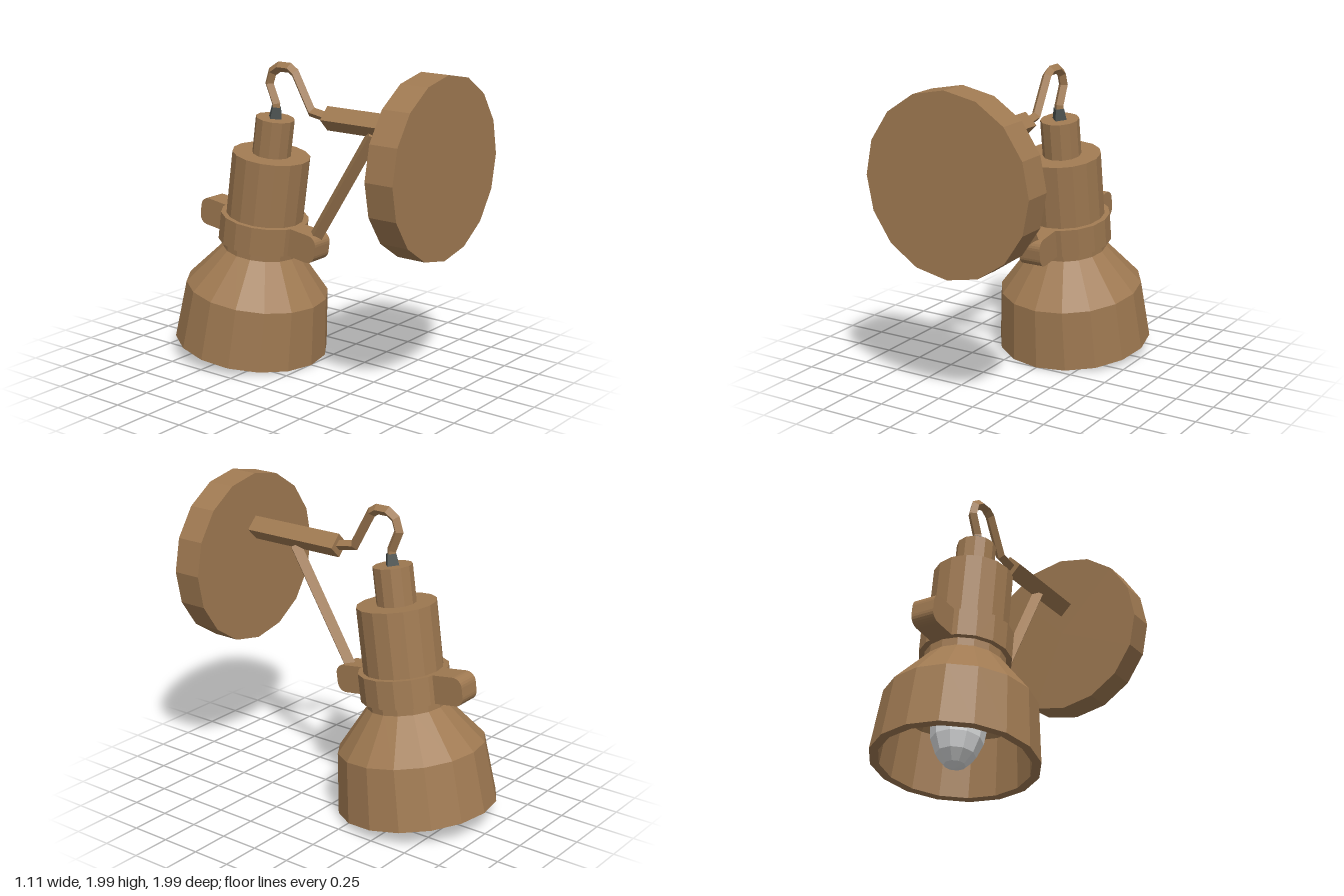
import * as THREE from 'three';

const mat = (name, color) => {
  const m = new THREE.MeshStandardMaterial({ color });
  m.name = name;
  return m;
};

// Faceted normals for the low-poly look
function flat(geometry) {
  const g = geometry.index ? geometry.toNonIndexed() : geometry;
  g.computeVertexNormals();
  return g;
}

function part(name, geometry, material, parent) {
  const mesh = new THREE.Mesh(flat(geometry), material);
  mesh.name = name;
  parent.add(mesh);
  return mesh;
}

// Diamond-section bar with mitred corners along a path of [z, y] points
function diamondBar(path, radius) {
  const pts = path.map(([z, y]) => new THREE.Vector3(0, y, z));
  const X = new THREE.Vector3(1, 0, 0);
  const last = pts.length - 1;
  const dir = (i) => pts[i + 1].clone().sub(pts[i]).normalize();
  const pos = [], idx = [];
  pts.forEach((p, i) => {
    const before = dir(Math.max(i - 1, 0));
    const after = dir(Math.min(i, last - 1));
    const t = before.clone().add(after).normalize();
    const n = t.clone().cross(X).multiplyScalar(radius / t.dot(after));
    const x = X.clone().multiplyScalar(radius);
    for (const [offset, s] of [[x, 1], [n, 1], [x, -1], [n, -1]]) {
      pos.push(...p.clone().addScaledVector(offset, s).toArray());
    }
  });
  for (let i = 0; i < last; i++) {
    for (let k = 0; k < 4; k++) {
      const a = i * 4 + k, b = i * 4 + (k + 1) % 4;
      idx.push(a, b, b + 4, a, b + 4, a + 4);
    }
  }
  const e = last * 4;
  idx.push(0, 2, 1, 0, 3, 2, e, e + 1, e + 2, e, e + 2, e + 3);
  const g = new THREE.BufferGeometry();
  g.setAttribute('position', new THREE.Float32BufferAttribute(pos, 3));
  g.setIndex(idx);
  return g;
}

// Upright cylinder between two heights
function post(r0, r1, y0, y1, sides) {
  return new THREE.CylinderGeometry(r1, r0, y1 - y0, sides).translate(0, (y0 + y1) / 2, 0);
}

export function createModel() {
  const bronze = mat('bronze', 0xa07a52);
  const darkGrey = mat('dark grey', 0x4a504e);
  const glass = mat('bulb glass', 0xdcdedf);

  const model = new THREE.Group();
  model.name = 'wallLamp';

  // Wall plate
  const plate = new THREE.CylinderGeometry(0.555, 0.555, 0.19, 16);
  plate.rotateX(Math.PI / 2).translate(0, 1.445, 0.905);
  part('wallPlate', plate, bronze, model);

  // Arms and cord
  part('horizontalArm', diamondBar([[0.82, 1.645], [0.13, 1.645]], 0.076), bronze, model);
  part('diagonalBrace', diamondBar([[0.477, 1.585], [0.04, 0.872]], 0.046), bronze, model);
  part('cord', diamondBar([
    [0.14, 1.648], [0.01, 1.67], [-0.12, 1.9], [-0.163, 1.927], [-0.243, 1.927],
    [-0.3, 1.89], [-0.325, 1.814], [-0.272, 1.69], [-0.274, 1.65],
  ], 0.032), bronze, model);

  // Tilted lamp head, built along its own axis
  const head = new THREE.Group();
  head.name = 'lampHead';
  head.position.set(0, 0.08, -0.4925);
  head.rotation.x = 0.139;
  model.add(head);

  // Hollow shade: inner wall down, rim, outer wall up
  const profile = [
    [0, 0.62], [0.2, 0.62], [0.418, 0.375], [0.45, 0], [0.504, 0], [0.466, 0.39], [0.24, 0.665], [0, 0.665],
  ].map(([r, y]) => new THREE.Vector2(r, y));
  part('shade', new THREE.LatheGeometry(profile, 16), bronze, head);

  part('housing', post(0.25, 0.25, 0.652, 1.297, 16), bronze, head);
  part('socketCap', post(0.124, 0.124, 1.29, 1.534, 12), bronze, head);
  part('cordGrip', post(0.052, 0.038, 1.53, 1.605, 4), darkGrey, head);

  // Clamp ring with rounded tabs front and back
  const low = 0.703, high = 0.883;
  part('clampRing', post(0.285, 0.285, low, high, 16), bronze, head);
  const L = 0.476, r = 0.06;
  const tab = new THREE.Shape();
  tab.moveTo(-L + r, low);
  tab.lineTo(L - r, low);
  tab.absarc(L - r, low + r, r, -Math.PI / 2, 0);
  tab.absarc(L - r, high - r, r, 0, Math.PI / 2);
  tab.absarc(-L + r, high - r, r, Math.PI / 2, Math.PI);
  tab.absarc(-L + r, low + r, r, Math.PI, Math.PI * 1.5);
  const tabs = new THREE.ExtrudeGeometry(tab, { depth: 0.152, bevelEnabled: false, curveSegments: 3 });
  tabs.translate(0, 0, -0.076).rotateY(-Math.PI / 2);
  part('clampTabs', tabs, bronze, head);

  // Bulb and its holder inside the shade
  const bulb = new THREE.SphereGeometry(1, 10, 8).scale(0.17, 0.285, 0.17).translate(0, 0.25, 0);
  part('bulb', bulb, glass, head);
  part('bulbHolder', post(0.08, 0.08, 0.48, 0.63, 10), darkGrey, head);

  return model;
}
